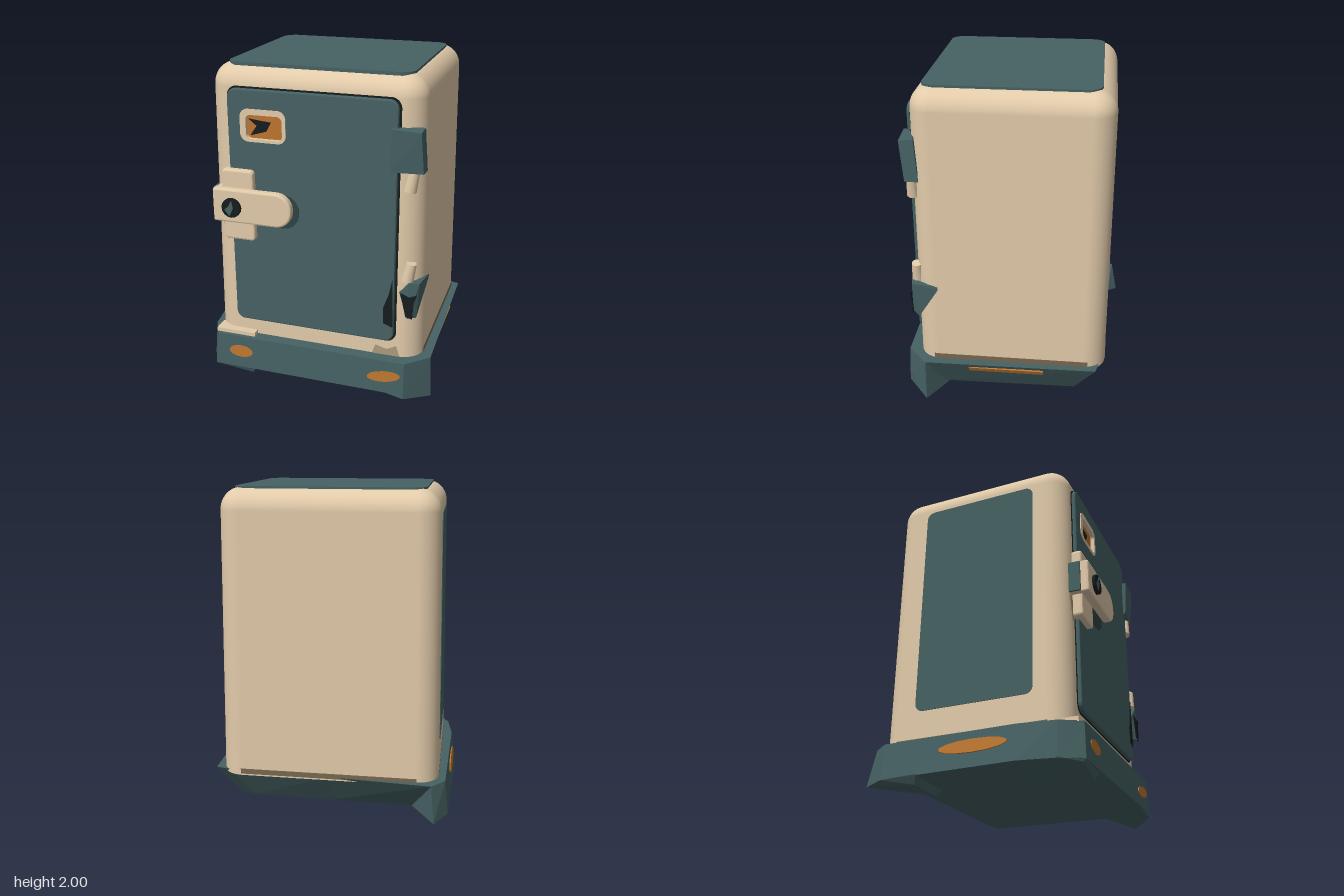
import * as THREE from 'three';
import { RoundedBoxGeometry } from 'three/addons/geometries/RoundedBoxGeometry.js';
import { ConvexGeometry } from 'three/addons/geometries/ConvexGeometry.js';

const paint = (name, color) => Object.assign(new THREE.MeshStandardMaterial({ color }), { name });

// rectangle with rounded corners, separate radii for the left and right ends
function roundRect(x0, x1, y0, y1, rl, rr = rl, S = THREE.Shape) {
  const s = new S(), h = Math.PI / 2;
  s.moveTo(x0 + rl, y0);
  s.lineTo(x1 - rr, y0);
  s.absarc(x1 - rr, y0 + rr, rr, -h, 0, false);
  s.absarc(x1 - rr, y1 - rr, rr, 0, h, false);
  s.lineTo(x0 + rl, y1);
  s.absarc(x0 + rl, y1 - rl, rl, h, 2 * h, false);
  s.absarc(x0 + rl, y0 + rl, rl, 2 * h, 3 * h, false);
  return s;
}

const polygon = pts => new THREE.Shape(pts.map(p => new THREE.Vector2(...p)));

// slab from z0 to z1, with a bevel kept inside its outline
function slab(shape, z0, z1, bevel = 0) {
  const g = new THREE.ExtrudeGeometry(shape, {
    depth: z1 - z0 - 2 * bevel, curveSegments: 6, bevelEnabled: bevel > 0,
    bevelSize: bevel, bevelThickness: bevel, bevelOffset: -bevel, bevelSegments: 2,
  });
  return g.translate(0, 0, z0 + bevel);
}

// the cabinet widens slightly toward the floor
function taper(g) {
  const p = g.attributes.position;
  for (let i = 0; i < p.count; i++) {
    const y = Math.max(p.getY(i), 0.25);
    p.setXYZ(i, 0.01 + (p.getX(i) - 0.01) * (1 + 0.023 * (1.9 - y)), y, p.getZ(i));
  }
  return g;
}

// closed flat-shaded loft between two rings of [x, y, z]
function loft(bottom, top) {
  const v = [], n = top.length;
  const mid = r => [0, 1, 2].map(k => r.reduce((s, p) => s + p[k], 0) / n);
  const cb = mid(bottom), ct = mid(top);
  for (let i = 0; i < n; i++) {
    const j = (i + 1) % n;
    v.push(bottom[i], bottom[j], top[j], bottom[i], top[j], top[i]);
    v.push(ct, top[i], top[j], cb, bottom[j], bottom[i]);
  }
  const g = new THREE.BufferGeometry();
  g.setAttribute('position', new THREE.Float32BufferAttribute(v.flat(), 3));
  g.computeVertexNormals();
  return g;
}

const hull = pts => new ConvexGeometry(pts.map(p => new THREE.Vector3(...p)));

export function createModel() {
  const tan = paint('tan', 0xe2cbaa), teal = paint('teal', 0x466163), orange = paint('orange', 0xbc7530);
  const dark = paint('nearBlack', 0x161d1e), brown = paint('brown', 0x77674f);
  const shade = paint('darkTeal', 0x2f4345), stain = paint('stain', 0xab9a7e);
  const model = new THREE.Group();
  model.name = 'cabinet';
  const add = (name, g, mat, x = 0, y = 0, z = 0) => {
    const m = new THREE.Mesh(g, mat);
    m.name = name;
    m.position.set(x, y, z);
    model.add(m);
    return m;
  };
  const box = (name, mat, x0, x1, y0, y1, z0, z1) =>
    add(name, new THREE.BoxGeometry(x1 - x0, y1 - y0, z1 - z0), mat, (x0 + x1) / 2, (y0 + y1) / 2, (z0 + z1) / 2);

  // cabinet shell
  const shell = new RoundedBoxGeometry(1.285, 1.893, 1.155, 6, 0.13);
  add('body', taper(shell.translate(0.01, 1.0495, -0.0275)), tan);

  // inset panels on the top and the right side
  add('topPanel', slab(roundRect(-0.545, 0.57, -0.485, 0.52, 0.08), 1.98, 2).rotateX(-Math.PI / 2), teal);
  const side = slab(roundRect(-0.39, 0.345, 0.46, 1.85, 0.05), 0, 0.008).rotateY(-Math.PI / 2);
  add('sidePanel', taper(side.translate(-0.6285, 0, 0)), teal);

  // worn seam where the body meets the base
  box('seamLeft', brown, 0.66, 0.679, 0.26, 0.302, -0.5, 0.45);
  box('seamRight', brown, -0.659, -0.64, 0.26, 0.292, -0.5, 0.43);
  box('seamBack', brown, -0.53, 0.55, 0.26, 0.292, -0.608, -0.59);
  box('baseLip', tan, -0.64, -0.38, 0.265, 0.295, 0.5, 0.6);

  // stains on the front frame
  add('stainLow', slab(polygon([[0.38, 0.27], [0.55, 0.27], [0.53, 0.34], [0.47, 0.31], [0.4, 0.33]]), 0.545, 0.553), stain);
  add('stainLatch', slab(polygon([[-0.585, 1.07], [-0.55, 0.91], [-0.51, 0.93], [-0.51, 1.07]]), 0.545, 0.553), stain);

  // skewed base, cut under along the left and back
  const top = [[-0.62, 0.625], [0.6, 0.625], [0.735, 0.5], [0.72, -0.55], [0.64, -0.57], [0, -0.605],
    [-0.62, -0.65], [-0.7, -0.55], [-0.72, 0.28], [-0.69, 0.5]].map(([x, z]) => [x, 0.27, z]);
  const bottom = [[-0.64, 0.635], [0.6, 0.635], [0.62, 0.45], [0.6, -0.42], [0.5, -0.45], [0, -0.46],
    [-0.58, -0.47], [-0.72, -0.53], [-0.75, 0.28], [-0.71, 0.5]].map(([x, z]) => [x, 0.055, z]);
  add('base', loft(bottom, top), teal);

  // pointed feet; two of them run up the corners as fins
  add('frontRightFoot', hull([[-0.64, 0.06, 0.635], [-0.71, 0.06, 0.5], [-0.75, 0.055, 0.28], [-0.37, 0.06, 0.62],
    [-0.4, 0.005, 0.6], [-0.58, 0.005, 0.29], [-0.64, 0.04, 0.62], [-0.5, 0.06, 0.28]]), teal);
  add('frontLeftFoot', hull([[0.735, 0.27, 0.5], [0.6, 0.27, 0.625], [0.6, 0.27, 0.45], [0.41, 0.06, 0.62],
    [0.6, 0.03, 0.635], [0.745, 0, 0.5], [0.5, 0.06, 0.3]]), teal);
  add('backRightFoot', hull([[-0.62, 0.27, -0.65], [-0.7, 0.27, -0.55], [-0.64, 0.05, -0.69], [-0.72, 0.055, -0.55],
    [-0.73, 0.06, -0.32], [-0.7, 0.01, -0.34], [-0.45, 0.01, -0.34], [-0.4, 0.06, -0.32]]), teal);

  // worn orange patches on the base
  const patch = (name, w, h, x, y, z, rx, ry, rz = 0) => {
    const g = new THREE.CylinderGeometry(0.5, 0.5, 0.008, 14).rotateX(Math.PI / 2).scale(w, h, 1);
    add(name, g, orange, x, y, z).rotation.set(rx, ry, rz, 'YXZ');
  };
  patch('frontPatchA', 0.16, 0.08, -0.465, 0.168, 0.63, -0.045, 0);
  patch('frontPatchB', 0.21, 0.07, 0.475, 0.165, 0.631, -0.045, 0, 0.15);
  patch('rightPatch', 0.42, 0.08, -0.727, 0.18, 0.02, -0.13, -Math.PI / 2 - 0.02);
  box('leftPatch', orange, 0.706, 0.716, 0.212, 0.246, -0.23, 0.23).rotation.z = -0.45;

  // door with a small recessed window
  const leaf = roundRect(-0.505, 0.515, 0.38, 1.865, 0.055);
  leaf.holes.push(roundRect(-0.4, -0.16, 1.565, 1.73, 0.03, 0.03, THREE.Path));
  add('doorGap', slab(roundRect(-0.512, 0.527, 0.37, 1.875, 0.06), 0.545, 0.554), dark);
  add('door', slab(leaf, 0.545, 0.577, 0.008), teal);
  const rim = roundRect(-0.425, -0.143, 1.557, 1.752, 0.05);
  rim.holes.push(roundRect(-0.388, -0.165, 1.575, 1.718, 0.03, 0.03, THREE.Path));
  add('windowRim', slab(rim, 0.553, 0.583), tan);
  box('windowPane', orange, -0.4, -0.16, 1.565, 1.73, 0.55, 0.558);
  const chip = polygon([[-0.38, 1.69], [-0.24, 1.675], [-0.27, 1.62], [-0.37, 1.59], [-0.33, 1.65]]);
  add('windowChip', slab(chip, 0.557, 0.561), dark);

  // latch: upright plate, rounded lever and keyed knob
  add('latchMark', slab(roundRect(-0.4, -0.072, 1.035, 1.25, 0.05, 0.1), 0.574, 0.58), shade);
  add('latchPlate', slab(roundRect(-0.545, -0.345, 0.94, 1.385, 0.025), 0.55, 0.613, 0.012), tan);
  add('latchLever', slab(roundRect(-0.585, -0.09, 1.07, 1.28, 0.015, 0.1), 0.615, 0.668, 0.012), tan);
  box('leverNeck', tan, -0.52, -0.37, 1.09, 1.26, 0.6, 0.63);
  box('leverReturn', tan, -0.585, -0.55, 1.08, 1.27, 0.55, 0.64);
  box('leverEnd', teal, -0.597, -0.583, 1.08, 1.27, 0.55, 0.62);
  add('knob', new THREE.CylinderGeometry(0.06, 0.06, 0.03, 16).rotateX(Math.PI / 2), dark, -0.46, 1.17, 0.672);
  const key = polygon([[-0.5, 1.16], [-0.47, 1.12], [-0.445, 1.17], [-0.455, 1.22], [-0.475, 1.18]]);
  add('knobKey', slab(key, 0.68, 0.69), teal);

  // upper hinge, lower broken hinge and their knuckles
  add('upperHinge', hull([[0.485, 1.71, 0.605], [0.65, 1.7, 0.6], [0.475, 1.46, 0.592], [0.665, 1.46, 0.575],
    [0.475, 1.46, 0.54], [0.67, 1.46, 0.495], [0.485, 1.71, 0.54], [0.655, 1.71, 0.515]]), teal);
  add('lowerHinge', hull([[0.545, 0.72, 0.575], [0.6, 0.79, 0.585], [0.685, 0.785, 0.41], [0.685, 0.765, 0.41],
    [0.665, 0.79, 0.57], [0.645, 0.55, 0.54], [0.6, 0.56, 0.588], [0.58, 0.57, 0.545]]), teal);
  const tear = polygon([[0.555, 0.72], [0.59, 0.57], [0.63, 0.56], [0.635, 0.66], [0.655, 0.72], [0.61, 0.7]]);
  add('hingeTear', slab(tear, 0.582, 0.589), dark);
  for (const y of [1.405, 0.845]) {
    add('hingeKnuckle', new THREE.CylinderGeometry(0.032, 0.04, 0.12, 10), tan, 0.595, y, 0.545).rotation.z = -0.2;
  }
  const scar = polygon([[0.505, 0.8], [0.51, 0.48], [0.455, 0.5], [0.45, 0.6], [0.485, 0.7]]);
  add('doorScar', slab(scar, 0.575, 0.581), dark);

  return model;
}
